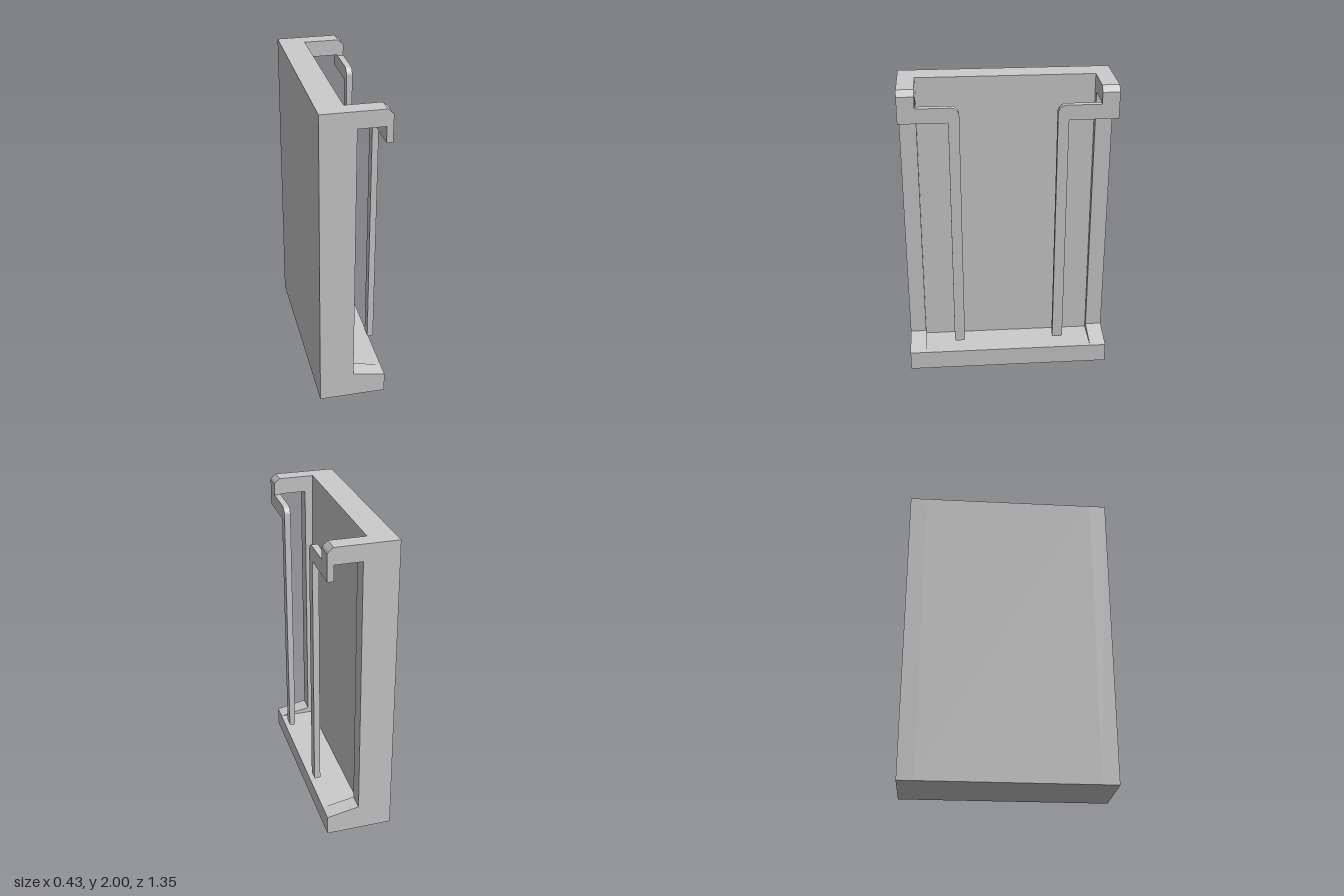
import * as THREE from 'three';

const material = new THREE.MeshStandardMaterial({ color: 0xcccccc });

function shapeOf(points) {
  return new THREE.Shape(points.map(([a, b]) => new THREE.Vector2(a, b)));
}

function addMesh(group, name, geometry) {
  const mesh = new THREE.Mesh(geometry, material);
  mesh.name = name;
  group.add(mesh);
  return mesh;
}

// Extrude an x-y profile along z between z0 and z1
function slab(points, z0, z1) {
  const geometry = new THREE.ExtrudeGeometry(shapeOf(points), { depth: z1 - z0, bevelEnabled: false });
  return geometry.translate(0, 0, z0);
}

export function createModel() {
  const group = new THREE.Group();
  const halfWidth = 0.675, pocket = 0.567;
  const back = -0.215, front = 0.215, barInner = 0.175;

  // Back panel with a slightly leaning face, plus the flat floor ledge
  addMesh(group, 'backPanelAndFloor', slab([
    [back, 0], [front, 0], [front, 0.13], [-0.025, 0.13], [-0.05, 2], [back, 2],
  ], -pocket, pocket));

  // Side frames: sloped foot, upright and hooked top arm
  const sideProfile = [
    [back, 0], [front, 0], [front, 0.13], [0.005, 0.17], [0.005, 1.895],
    [barInner, 1.895], [barInner, 1.795], [front, 1.795], [front, 1.965],
    [0.205, 1.978], [0.178, 2], [back, 2],
  ];
  addMesh(group, 'leftSideFrame', slab(sideProfile, -halfWidth, -pocket));
  addMesh(group, 'rightSideFrame', slab(sideProfile, pocket, halfWidth));

  // Retaining bars: reach inward from each arm, bend, then hang down
  for (const s of [-1, 1]) {
    const bar = new THREE.Shape();
    bar.moveTo(s * pocket, 1.795);
    bar.lineTo(s * pocket, 1.89);
    bar.lineTo(s * 0.352, 1.89);
    bar.bezierCurveTo(s * 0.323, 1.89, s * 0.3, 1.867, s * 0.3, 1.838);
    bar.lineTo(s * 0.3, 0.225);
    bar.lineTo(s * 0.368, 0.225);
    bar.lineTo(s * 0.368, 1.795);
    const geometry = new THREE.ExtrudeGeometry(bar, {
      depth: front - barInner, bevelEnabled: false, curveSegments: 10,
    });
    geometry.rotateY(Math.PI / 2).translate(barInner, 0, 0);
    addMesh(group, 'retainingBar', geometry);

    // Narrowed tip of the bar
    const tip = addMesh(group, 'barTip', new THREE.BoxGeometry(0.03, 0.01, 0.056));
    tip.position.set((front + barInner) / 2, 0.22, -s * 0.334);
  }
  return group;
}
